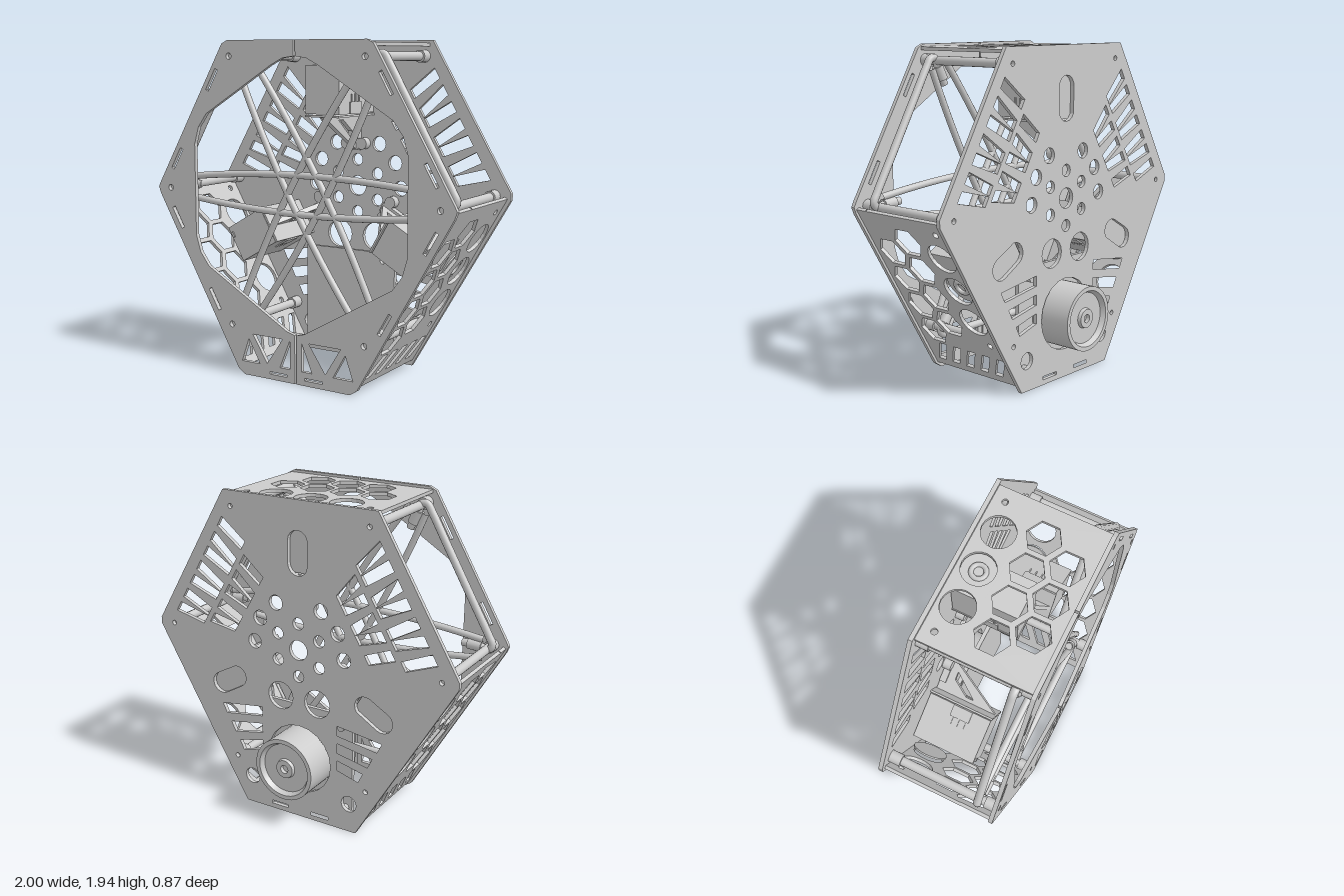
import * as THREE from 'three';
import { toCreasedNormals } from 'three/addons/utils/BufferGeometryUtils.js';

const CY = 1.07; // height of the hexagon centre
const RAD = Math.PI / 180;
const mat = new THREE.MeshStandardMaterial({ color: 0xcccccc });

function mesh(name, geo, parent) {
  const m = new THREE.Mesh(geo, mat);
  m.name = name;
  parent.add(m);
  return m;
}

// group whose +y points outward from the hexagon centre at the given angle
function sector(name, deg, parent) {
  const g = new THREE.Group();
  g.name = name;
  g.position.y = CY;
  g.rotation.z = (deg - 90) * RAD;
  parent.add(g);
  return g;
}

const v2 = (p) => new THREE.Vector2(p[0], p[1]);
const path = (pts) => new THREE.Path(pts.map(v2));
const circle = (x, y, r) => new THREE.Path().absarc(x, y, r, 0, Math.PI * 2);
const ngon = (x, y, r, n, start) => path(Array.from({ length: n }, (_, i) => {
  const a = start + (i * Math.PI * 2) / n;
  return [x + r * Math.cos(a), y + r * Math.sin(a)];
}));

// sector coordinates (t along the edge, d outward) to plate x, y
function polar(deg, t, d) {
  const a = (deg - 90) * RAD;
  return [t * Math.cos(a) - d * Math.sin(a), CY + t * Math.sin(a) + d * Math.cos(a)];
}
const polarPath = (deg, pts) => path(pts.map(([t, d]) => polar(deg, t, d)));
const polarCircle = (deg, t, d, r) => circle(...polar(deg, t, d), r);

function plate(outline, holes, depth) {
  const s = new THREE.Shape(outline.map(v2));
  s.holes.push(...holes);
  return new THREE.ExtrudeGeometry(s, { depth, bevelEnabled: false, curveSegments: 10 });
}

function rod(name, a, b, r, parent) {
  const curve = new THREE.LineCurve3(new THREE.Vector3(...a), new THREE.Vector3(...b));
  const m = mesh(name, new THREE.CylinderGeometry(r, r, curve.getLength(), 16), parent);
  m.position.copy(curve.getPoint(0.5));
  m.quaternion.setFromUnitVectors(new THREE.Vector3(0, 1, 0), curve.getTangent(0));
}

// one half of the open front frame
function frontFrame(side, parent) {
  const flip = (pts) => pts.map(([x, y]) => [x * side, y]);
  const outline = [[0.006, 1.94], [0.46, 1.94], [0.5, 1.92], [0.98, 1.1], [0.995, 1.07], [0.98, 1.03],
    [0.405, 0.03], [0.36, 0], [0.006, 0], [0.006, 0.285], [0.06, 0.3], [0.62, 0.62], [0.68, 0.7], [0.71, 0.8],
    [0.71, 1.34], [0.68, 1.44], [0.62, 1.52], [0.16, 1.8], [0.08, 1.84], [0.006, 1.85]];
  const holes = [
    [[0.04, 0.25], [0.04, 0.08], [0.11, 0.08]],
    [[0.09, 0.25], [0.3, 0.25], [0.2, 0.09]],
    [[0.25, 0.08], [0.38, 0.08], [0.33, 0.22]],
    [[0.06, 0.03], [0.18, 0.03], [0.18, 0.045], [0.06, 0.045]],
  ].map((p) => path(flip(p)));
  for (const deg of side > 0 ? [30, -30] : [150, 210]) {
    for (const t of [-0.27, 0.27]) {
      holes.push(polarPath(deg, [[t - 0.07, 0.81], [t + 0.07, 0.81], [t + 0.07, 0.832], [t - 0.07, 0.832]]));
    }
  }
  for (const [x, y] of [[0.45, 1.85], [0.9, 1.07], [0.45, 0.29]]) holes.push(circle(x * side, y, 0.018));
  mesh('frontFrame', plate(flip(outline), holes, 0.025).translate(0, 0, 0.41), parent);
}

function backPlate(parent) {
  const outline = [[-0.5, 1.94], [0.5, 1.94], [1, 1.09], [1, 1.05], [0.385, 0], [-0.385, 0], [-1, 1.05], [-1, 1.09]];
  const holes = [circle(0, CY, 0.06), circle(0, 0.385, 0.215)];
  for (let i = 0; i < 6; i++) {
    holes.push(polarCircle(30 + i * 60, 0, 0.16, 0.036));
    holes.push(polarCircle(i * 60, 0, 0.9, 0.015));
  }
  for (const deg of [0, 30, 60, 120, 150, 180]) holes.push(polarCircle(deg, 0, 0.3, 0.045));
  for (const s of [-1, 1]) {
    holes.push(circle(s * 0.125, 0.765, 0.085));
    holes.push(circle(s * 0.34, 0.18, 0.05));
    holes.push(path([[s * 0.08, 0.03], [s * 0.2, 0.03], [s * 0.2, 0.05], [s * 0.08, 0.05]]));
    // slanted slots beside the motor
    for (let i = 0; i < 3; i++) {
      const y = 0.34 + i * 0.11;
      const out = 0.4 + i * 0.06;
      holes.push(path([[s * 0.26, y + 0.04], [s * out, y], [s * (out + 0.03), y + 0.06], [s * 0.26, y + 0.1]]));
    }
  }
  // rounded windows behind the camera boxes
  for (const deg of [90, 210, 330]) {
    const pts = [];
    for (let i = 0; i <= 16; i++) {
      const a = (i > 8 ? i - 1 : i) * Math.PI / 8 + (i > 8 ? Math.PI / 8 : 0);
      pts.push([0.065 * Math.cos(a), 0.57 + 0.065 * Math.sin(a) + (i <= 8 ? 0.065 : -0.065)]);
    }
    holes.push(polarPath(deg, pts));
  }
  // fans of slots in the two upper side sectors
  for (const deg of [30, 150]) {
    for (const [n, pitch, d0, d1, spread] of [[5, 0.09, 0.4, 0.57, 1.25], [7, 0.095, 0.6, 0.8, 1.15]]) {
      for (let i = 0; i < n; i++) {
        const t = (i - (n - 1) / 2) * pitch;
        const lean = i % 2 ? 0.015 : -0.015;
        holes.push(polarPath(deg, [[t - 0.03 + lean, d0], [t + 0.03 + lean, d0],
          [t * spread + 0.034, d1], [t * spread - 0.034, d1]]));
      }
    }
  }
  mesh('backPlate', plate(outline, holes, 0.025).translate(0, 0, -0.265), parent);
}

// honeycomb side wall; ext = +1 or -1 lengthens that end down to the base
function sidePanel(deg, ext, parent) {
  const a = ext < 0 ? -0.7 : -0.48;
  const b = ext > 0 ? 0.7 : 0.48;
  const holes = [];
  const hex = (s, z) => holes.push(ngon(s, z, 0.1, 6, Math.PI / 2));
  for (const s of [-0.2, 0, 0.2]) hex(s, 0.28);
  for (const s of [-0.3, -0.1, 0.1, 0.3]) hex(s, 0.1);
  for (const s of [-0.23, 0, 0.23]) holes.push(circle(s, -0.125, 0.095));
  for (const s of [-0.4, 0.4]) {
    if (ext) hex(s * 0.995, 0.28);
    holes.push(circle(s, -0.17, 0.018));
  }
  if (ext) {
    for (let i = 0; i < 5; i++) {
      const z = -0.17 + i * 0.115;
      holes.push(path([[ext * 0.505, z - 0.06], [ext * 0.505, z], [ext * 0.65, z + 0.08], [ext * 0.65, z + 0.02]]));
    }
  }
  const g = sector('sidePanel', deg, parent);
  const geo = plate([[a, -0.24], [b, -0.24], [b, 0.41], [a, 0.41]], holes, 0.02);
  mesh('honeycombWall', geo.rotateX(Math.PI / 2).translate(0, 0.855, 0), g);
  // grommet in the middle round hole
  mesh('grommet', new THREE.TorusGeometry(0.04, 0.014, 8, 24).rotateX(Math.PI / 2).translate(0, 0.82, -0.125), g);
  mesh('grommetDisc', new THREE.CylinderGeometry(0.105, 0.105, 0.01, 24).translate(0, 0.81, -0.125), g);
}

function cameraUnit(deg, parent) {
  const g = sector('cameraUnit', deg, parent);
  const box = (name, w, h, d, x, y, z) => mesh(name, new THREE.BoxGeometry(w, h, d).translate(x, y, z), g);
  box('cameraBox', 0.225, 0.28, 0.39, 0, 0.59, -0.04);
  box('cameraShelf', 0.23, 0.012, 0.4, 0, 0.438, -0.04);
  box('cameraLatch', 0.035, 0.015, 0.01, 0.06, 0.715, 0.158);
  for (const s of [-1, 1]) {
    box('cameraPort', 0.012, 0.07, 0.12, s * 0.115, 0.485, -0.02);
    for (const z of [-0.06, -0.02, 0.02]) box('portPin', 0.01, 0.05, 0.008, s * 0.115, 0.54, z);
    const foot = new THREE.CylinderGeometry(0.035, 0.035, 0.05, 16).rotateX(Math.PI / 2);
    mesh('bracketFoot', foot.translate(s * 0.055, 0.26, -0.215), g);
  }
  box('bracketBase', 0.06, 0.16, 0.04, 0, 0.3, -0.215);
  // triangular gusset, drawn in the z-y plane
  const gusset = plate([[0.15, 0.432], [-0.235, 0.432], [-0.235, 0.22], [-0.19, 0.23]],
    [path([[0.0, 0.41], [-0.05, 0.41], [-0.15, 0.34], [-0.15, 0.29]])], 0.03);
  mesh('bracketGusset', gusset.rotateY(-Math.PI / 2).translate(0.015, 0, 0), g);
}

// tube along an open side, with its ends turned inward into sockets
function edgeTube(deg, parent) {
  const g = sector('edgeTube', deg, parent);
  const z = 0.315;
  const half = [[0.36, 0.66], [0.41, 0.74], [0.455, 0.79], [0.44, 0.825], [0.38, 0.83], [0.2, 0.83]];
  const pts = [...half, ...half.slice().reverse().map(([x, y]) => [-x, y])];
  const curve = new THREE.CatmullRomCurve3(pts.map(([x, y]) => new THREE.Vector3(x, y, z)), false, 'centripetal');
  mesh('bentTube', new THREE.TubeGeometry(curve, 80, 0.023, 12), g);
  for (const s of [-1, 1]) rod('tubeSocket', [s * 0.38, 0.69, z], [s * 0.425, 0.76, z], 0.032, g);
}

// pair of slightly bowed rods across the middle of the frame
function crossRods(deg, parent) {
  const g = sector('crossRods', deg, parent);
  for (const s of [-1, 1]) {
    const curve = new THREE.QuadraticBezierCurve3(new THREE.Vector3(-0.88, s * 0.055, 0.315),
      new THREE.Vector3(0, s * 0.17, 0.315), new THREE.Vector3(0.88, s * 0.055, 0.315));
    mesh('crossRod', new THREE.TubeGeometry(curve, 24, 0.02, 12), g);
  }
}

function motor(parent) {
  const profile = [[0, 0.16], [0.19, 0.16], [0.19, 0.435], [0.165, 0.435], [0.15, 0.405], [0.06, 0.405],
    [0.055, 0.425], [0.025, 0.425], [0.025, 0.4], [0, 0.4]];
  const geo = new THREE.LatheGeometry(profile.map(v2), 40).rotateX(-Math.PI / 2).translate(0, 0.385, 0);
  mesh('motorDrum', toCreasedNormals(geo, 0.5), parent);
  const mount = plate([[-0.31, 0.03], [0.31, 0.03], [0.31, 0.69], [-0.31, 0.69]],
    [circle(-0.23, 0.64, 0.018), circle(0.23, 0.64, 0.018)], 0.025);
  mesh('motorMount', mount.translate(0, 0, -0.175), parent);
  for (const x of [-0.27, 0.27]) {
    for (const y of [0.1, 0.64]) rod('mountSpacer', [x, y, -0.245], [x, y, -0.17], 0.02, parent);
  }
}

export function createModel() {
  const root = new THREE.Group();
  root.name = 'hexagonalFrame';
  frontFrame(1, root);
  frontFrame(-1, root);
  backPlate(root);
  sidePanel(90, 0, root);
  sidePanel(330, 1, root);
  sidePanel(210, -1, root);
  // corner standoffs with end collars
  for (let i = 0; i < 6; i++) {
    const [x, y] = polar(i * 60, 0, 0.9);
    rod('standoff', [x, y, -0.24], [x, y, 0.41], 0.026, root);
    rod('standoffCollar', [x, y, -0.24], [x, y, -0.17], 0.036, root);
    rod('standoffCollar', [x, y, 0.35], [x, y, 0.41], 0.036, root);
  }
  for (const deg of [30, 150, 270]) edgeTube(deg, root);
  for (const deg of [90, 210, 330]) {
    crossRods(deg, root);
    cameraUnit(deg, root);
  }
  motor(root);
  return root;
}
